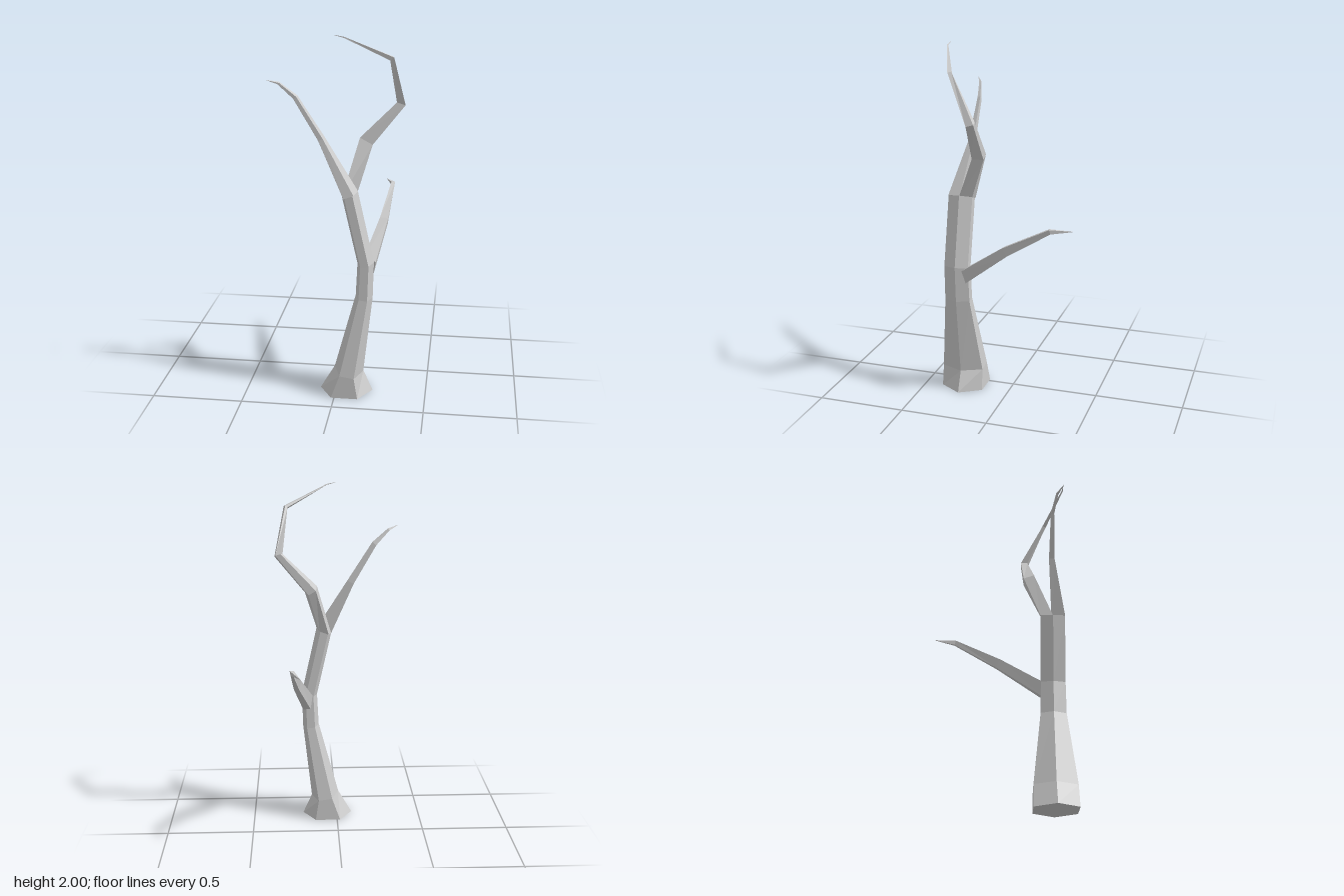
import * as THREE from 'three';

const material = new THREE.MeshStandardMaterial({ color: 0xcccccc, flatShading: true });
const V = (x, y, z) => new THREE.Vector3(x, y, z);

// Unit cross-sections, counter-clockwise around the limb's direction
const hexagon = Array.from({ length: 6 }, (_, i) => [Math.cos(i * Math.PI / 3), Math.sin(i * Math.PI / 3)]);
const frontHalf = [[-1, -1], [1, -1], [0.62, 1], [-0.62, 1]];
const backHalf = [[-0.62, -1], [0.62, -1], [1, 1], [-1, 1]];

// Lofts a section along rings [x, y, z, half width, half depth], mitred at every bend
function limb(name, section, rings, { ref = V(0, 0, 1), start, end } = {}) {
  const n = section.length, last = rings.length - 1;
  const centres = rings.map(r => V(r[0], r[1], r[2]));
  const dir = i => centres[i + 1].clone().sub(centres[i]).normalize();
  const positions = [], index = [];
  rings.forEach(([, , , a, b], i) => {
    let t;
    if (i === 0) t = start ? start.clone() : dir(0);
    else if (i === last) t = end ? end.clone() : dir(last - 1);
    else t = dir(i - 1).add(dir(i));
    t.normalize();
    const u = ref.clone().cross(t).normalize();
    const v = t.clone().cross(u);
    for (const [p, q] of section) {
      const c = centres[i].clone().addScaledVector(u, p * a).addScaledVector(v, q * b);
      positions.push(c.x, c.y, c.z);
    }
  });
  for (let i = 0; i < last; i++) {
    for (let k = 0; k < n; k++) {
      const a = i * n + k, b = i * n + (k + 1) % n;
      index.push(a, b, b + n, a, b + n, a + n);
    }
  }
  // End caps
  for (let k = 1; k < n - 1; k++) {
    index.push(0, k + 1, k);
    index.push(last * n, last * n + k, last * n + k + 1);
  }
  const geometry = new THREE.BufferGeometry();
  geometry.setAttribute('position', new THREE.Float32BufferAttribute(positions, 3));
  geometry.setIndex(index);
  const flat = geometry.toNonIndexed();
  flat.computeVertexNormals();
  const mesh = new THREE.Mesh(flat, material);
  mesh.name = name;
  return mesh;
}

export function createModel() {
  const tree = new THREE.Group();
  tree.name = 'bareTree';
  const fork = V(-0.13, 0.33, 0); // direction of the trunk where it splits

  // Trunk with flared foot
  tree.add(limb('trunk', hexagon, [
    [0.056, 0, 0.274, 0.147, 0.141],
    [0.07, 0.128, 0.275, 0.081, 0.139],
    [0.153, 0.57, 0.278, 0.047, 0.084],
    [0.16, 0.765, 0.28, 0.045, 0.081],
    [0.073, 1.15, 0.28, 0.046, 0.081],
  ], { start: V(0, 1, 0), end: fork }));

  // Front half of the fork, sweeping to the right
  tree.add(limb('rightBranch', frontHalf, [
    [0.073, 1.15, 0.313, 0.046, 0.037],
    [-0.082, 1.44, 0.271, 0.021, 0.015],
    [-0.217, 1.66, 0.271, 0.015, 0.009],
    [-0.3, 1.737, 0.294, 0.008, 0.006],
    [-0.355, 1.757, 0.325, 0.001, 0.001],
  ], { start: fork }));

  // Back half of the fork, hooking left and over the top
  tree.add(limb('crownBranch', backHalf, [
    [0.073, 1.15, 0.243, 0.046, 0.035],
    [0.145, 1.41, 0.148, 0.039, 0.031],
    [0.33, 1.62, 0.129, 0.024, 0.02],
    [0.284, 1.873, 0.256, 0.013, 0.01],
    [0.05, 1.988, 0.355, 0.003, 0.003],
    [0, 1.999, 0.358, 0.001, 0.001],
  ], { start: fork }));

  // Low branch reaching backwards
  tree.add(limb('backBranch', backHalf, [
    [0.175, 0.72, 0.225, 0.037, 0.038],
    [0.234, 0.908, -0.03, 0.024, 0.026],
    [0.26, 1.053, -0.285, 0.011, 0.013],
    [0.215, 1.05, -0.399, 0.001, 0.001],
  ], { ref: V(0, 1, 0), start: V(0.1, 0.25, -1) }));

  return tree;
}
